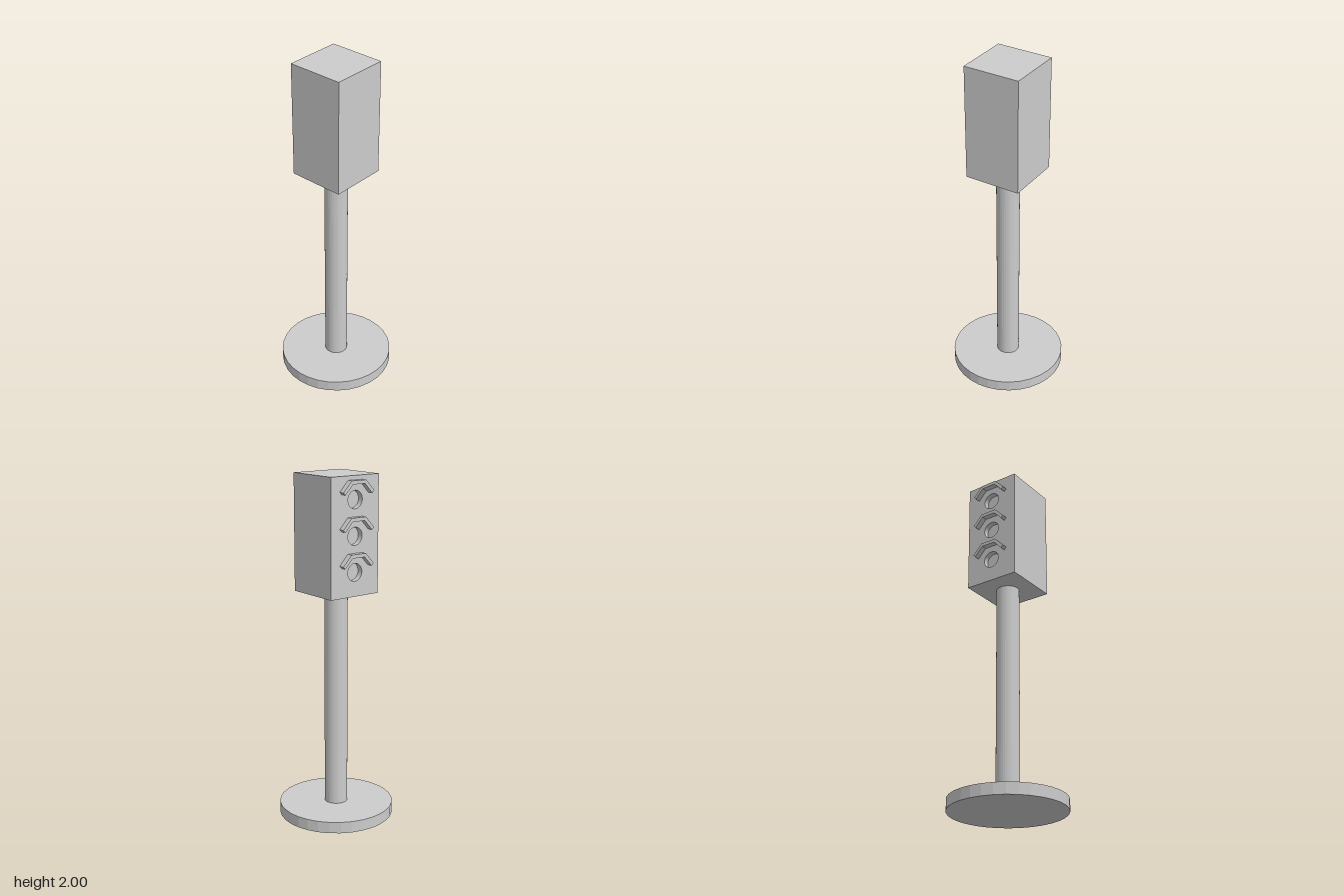
import * as THREE from 'three';

export function createModel() {
  const group = new THREE.Group();
  const grey = new THREE.MeshStandardMaterial({ color: 0xcccccc, flatShading: true });
  grey.name = 'light grey';

  const add = (name, geometry, x, y, z) => {
    const mesh = new THREE.Mesh(geometry, grey);
    mesh.name = name;
    mesh.position.set(x, y, z);
    group.add(mesh);
  };

  const W = 0.3333, H = 0.6667;      // housing width and height
  const recess = 0.033;              // depth of the lamp sockets
  const lampHeights = [1.87, 1.67, 1.47];

  // Round foot and pole
  add('base', new THREE.CylinderGeometry(0.3333, 0.3333, 0.0667, 32), 0, 0.0333, 0);
  add('pole', new THREE.CylinderGeometry(0.0667, 0.0667, 1.2667, 32), 0, 0.7, 0);

  // Solid housing, whose back face forms the floors of the lamp sockets
  add('housing', new THREE.BoxGeometry(W, H, W - recess), 0, 2 - H / 2, recess / 2);

  // Back panel pierced by three round lamp sockets
  const panel = new THREE.Shape();
  panel.moveTo(-W / 2, 2 - H);
  panel.lineTo(W / 2, 2 - H);
  panel.lineTo(W / 2, 2);
  panel.lineTo(-W / 2, 2);
  panel.closePath();
  for (const y of lampHeights) {
    const hole = new THREE.Path();
    hole.absarc(0, y, 0.05, 0, Math.PI * 2, true);
    panel.holes.push(hole);
  }
  add('lampPanel', new THREE.ExtrudeGeometry(panel, { depth: recess, bevelEnabled: false, curveSegments: 32 }), 0, 0, -W / 2);

  // Three-sided visor over each lamp
  const half = [[0.107, 0.046], [0.05, 0.106], [0.042, 0.086], [0.093, 0.032]];
  const [endOut, topOut, topIn, endIn] = half;
  const mirror = ([x, y]) => [-x, y];
  const outline = [endOut, topOut, mirror(topOut), mirror(endOut),
    mirror(endIn), mirror(topIn), topIn, endIn];
  const visor = new THREE.Shape(outline.map(([x, y]) => new THREE.Vector2(x, y)));
  const visorGeometry = new THREE.ExtrudeGeometry(visor, { depth: 0.0333, bevelEnabled: false });
  lampHeights.forEach((y, i) => add('visor' + (i + 1), visorGeometry, 0, y, -W / 2 - 0.0333));

  return group;
}
